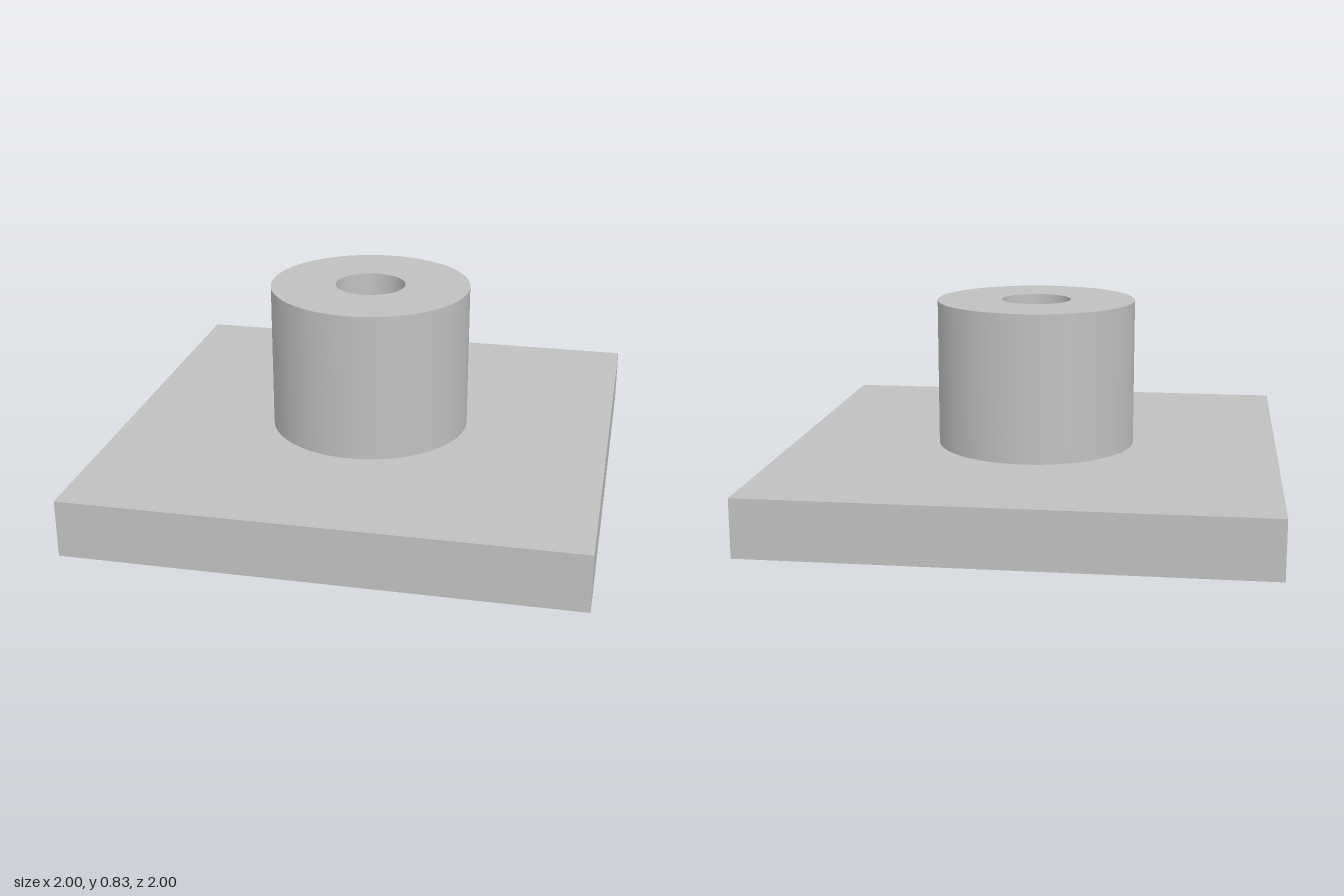
import * as THREE from 'three';
import { toCreasedNormals } from 'three/addons/utils/BufferGeometryUtils.js';

const PLATE_TOP = 0.23;
const BOSS_TOP = 0.83;
const BOSS_RADIUS = 0.408;
const BORE_RADIUS = 0.143;

export function createModel() {
  const model = new THREE.Group();
  model.name = 'flangedBoss';
  const metal = new THREE.MeshStandardMaterial({ color: 0xc0c0c0 });
  metal.name = 'plainGrey';

  // Square base plate; its top also closes the bore
  const plate = new THREE.Mesh(new THREE.BoxGeometry(2, PLATE_TOP, 2), metal);
  plate.name = 'basePlate';
  plate.position.y = PLATE_TOP / 2;
  model.add(plate);

  // Hollow boss: outer wall, top ring, bore wall
  const profile = [
    [BOSS_RADIUS, PLATE_TOP],
    [BOSS_RADIUS, BOSS_TOP],
    [BORE_RADIUS, BOSS_TOP],
    [BORE_RADIUS, PLATE_TOP],
  ].map(([r, y]) => new THREE.Vector2(r, y));
  const boss = new THREE.Mesh(
    toCreasedNormals(new THREE.LatheGeometry(profile, 72), Math.PI / 6), metal);
  boss.name = 'boss';
  model.add(boss);

  return model;
}
